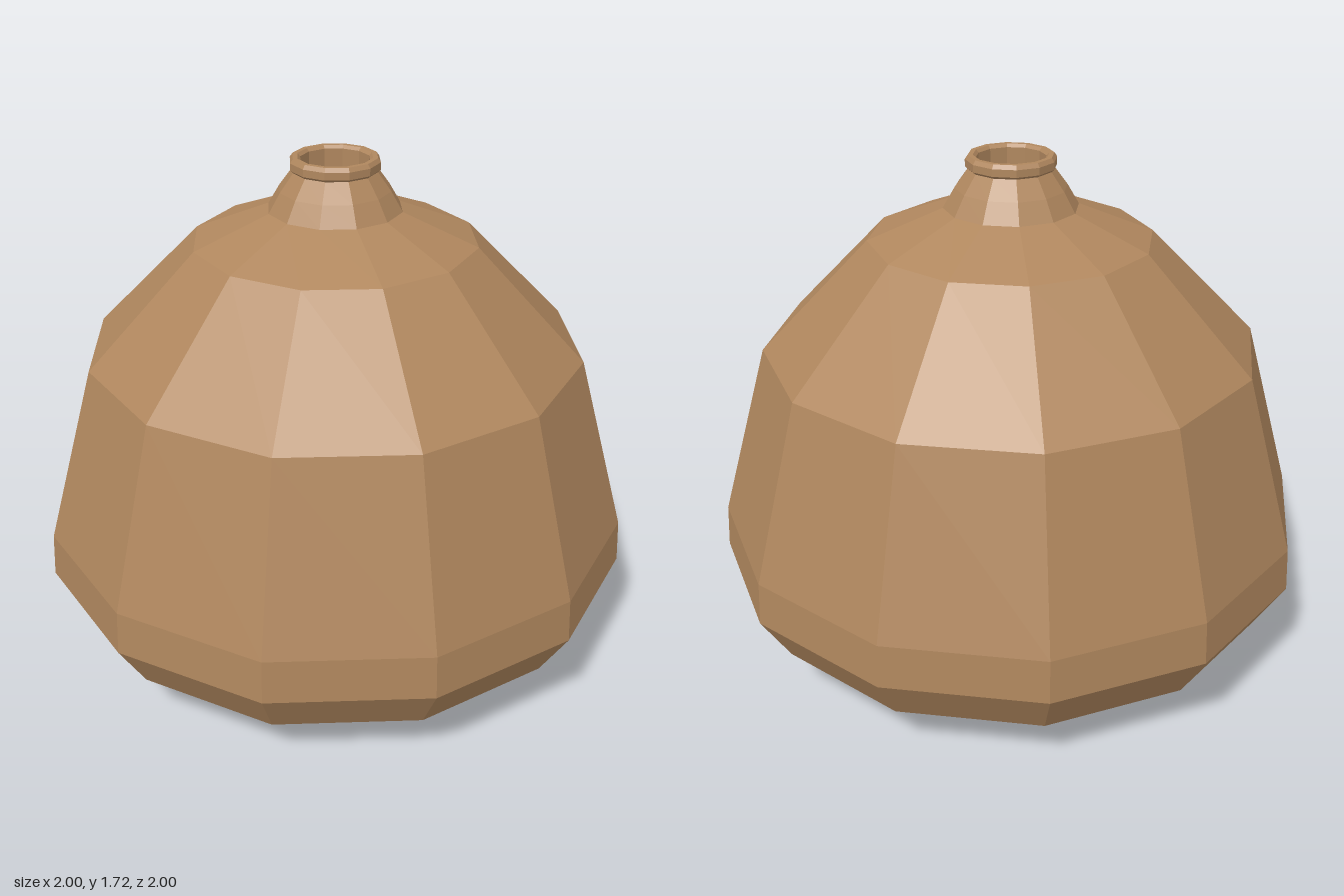
import * as THREE from 'three';

const SIDES = 12;

// Faceted part turned around the y axis from [radius, height] pairs
function turned(name, profile, material) {
  const points = profile.map(([r, y]) => new THREE.Vector2(r, y));
  const mesh = new THREE.Mesh(new THREE.LatheGeometry(points, SIDES), material);
  mesh.name = name;
  return mesh;
}

export function createModel() {
  const clay = new THREE.MeshStandardMaterial({ color: 0xb0875e });
  clay.name = 'brown clay';
  clay.flatShading = true;

  const group = new THREE.Group();
  group.name = 'clayJar';

  // Rounded base, from the underside to the widest edge
  group.add(turned('base', [
    [0, 0], [0.28, 0], [0.55, 0.04], [0.79, 0.115], [0.9, 0.18], [1, 0.345],
  ], clay));

  // Tapering belly and shoulder
  group.add(turned('body', [
    [1, 0.345], [0.992, 0.49], [0.825, 1.08], [0.467, 1.445], [0.22, 1.545],
  ], clay));

  // Flared neck
  group.add(turned('neck', [[0.22, 1.545], [0.182, 1.61], [0.138, 1.67]], clay));

  // Rolled lip around the mouth
  group.add(turned('lip', [
    [0.138, 1.67], [0.147, 1.678], [0.147, 1.702], [0.138, 1.715], [0.122, 1.715], [0.113, 1.705],
  ], clay));

  // Hollow inside of the neck, closed by a floor
  group.add(turned('mouthInside', [[0.113, 1.705], [0.113, 1.5], [0, 1.5]], clay));

  return group;
}
